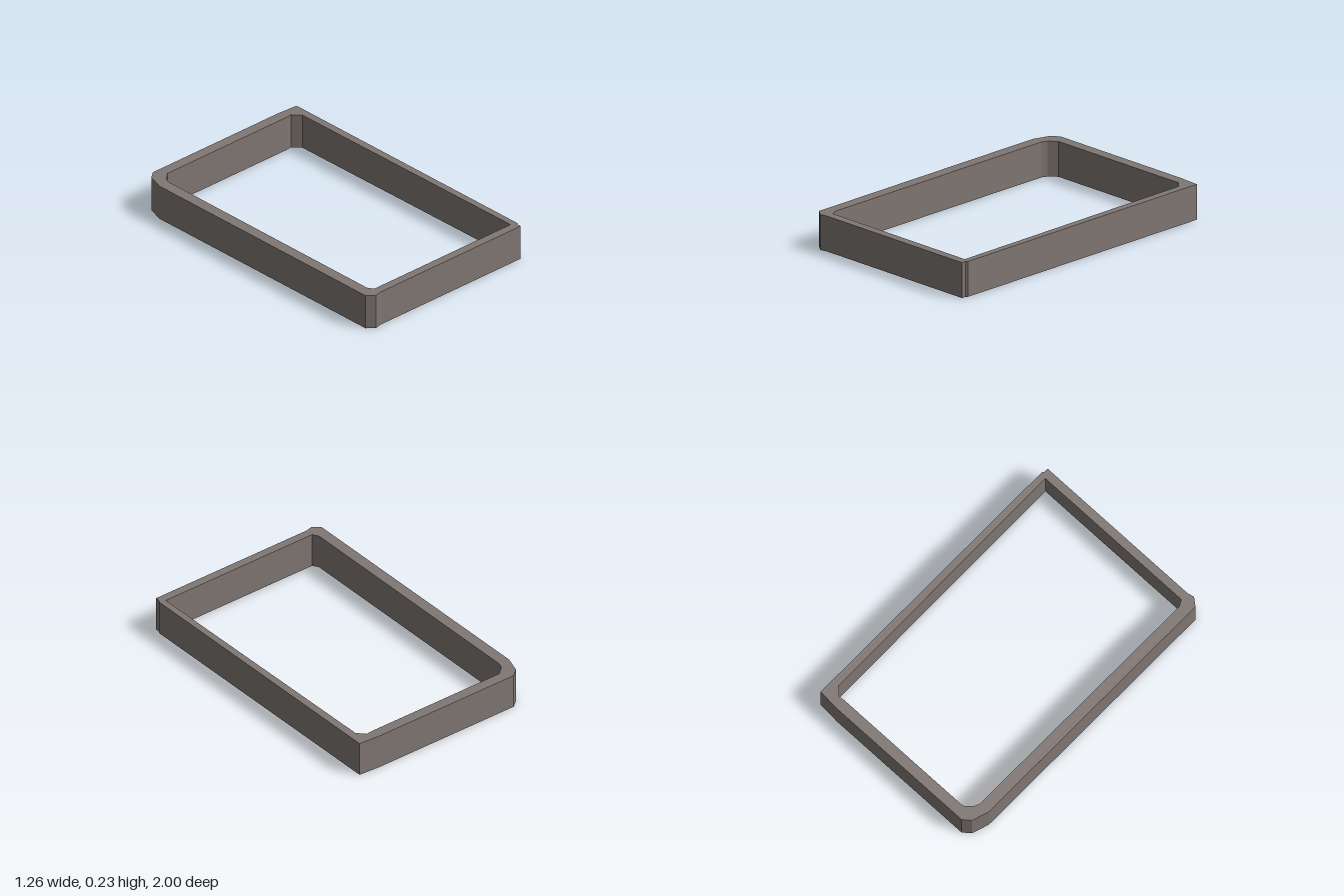
import * as THREE from 'three';

const HEIGHT = 0.227;

// Plan outlines as [x, z] corners
const OUTER = [
  [-0.635, -0.85], [-0.6, -0.96], [-0.55, -1], [0.48, -1], [0.63, -0.99],
  [0.63, 0.95], [0.62, 0.96], [0.62, 0.99], [-0.54, 0.99], [-0.585, 1], [-0.635, 0.96],
];
const INNER = [
  [-0.56, -0.85], [-0.545, -0.885], [-0.495, -0.93], [0.49, -0.93], [0.53, -0.935],
  [0.578, -0.885], [0.588, 0.935], [-0.54, 0.935], [-0.563, 0.895],
];

const toPoints = (list) => list.map(([x, z]) => new THREE.Vector2(x, z));

export function createModel() {
  const model = new THREE.Group();
  model.name = 'rectangularFrame';

  const stone = new THREE.MeshStandardMaterial({ color: 0x807773 });
  stone.name = 'warm grey';

  // Wall ring with uneven clipped corners, extruded and laid flat
  const plan = new THREE.Shape(toPoints(OUTER));
  plan.holes.push(new THREE.Path(toPoints(INNER)));
  const geometry = new THREE.ExtrudeGeometry(plan, { depth: HEIGHT, bevelEnabled: false });
  geometry.rotateX(Math.PI / 2).translate(0, HEIGHT, 0);

  const wall = new THREE.Mesh(geometry, stone);
  wall.name = 'perimeterWall';
  model.add(wall);
  return model;
}
